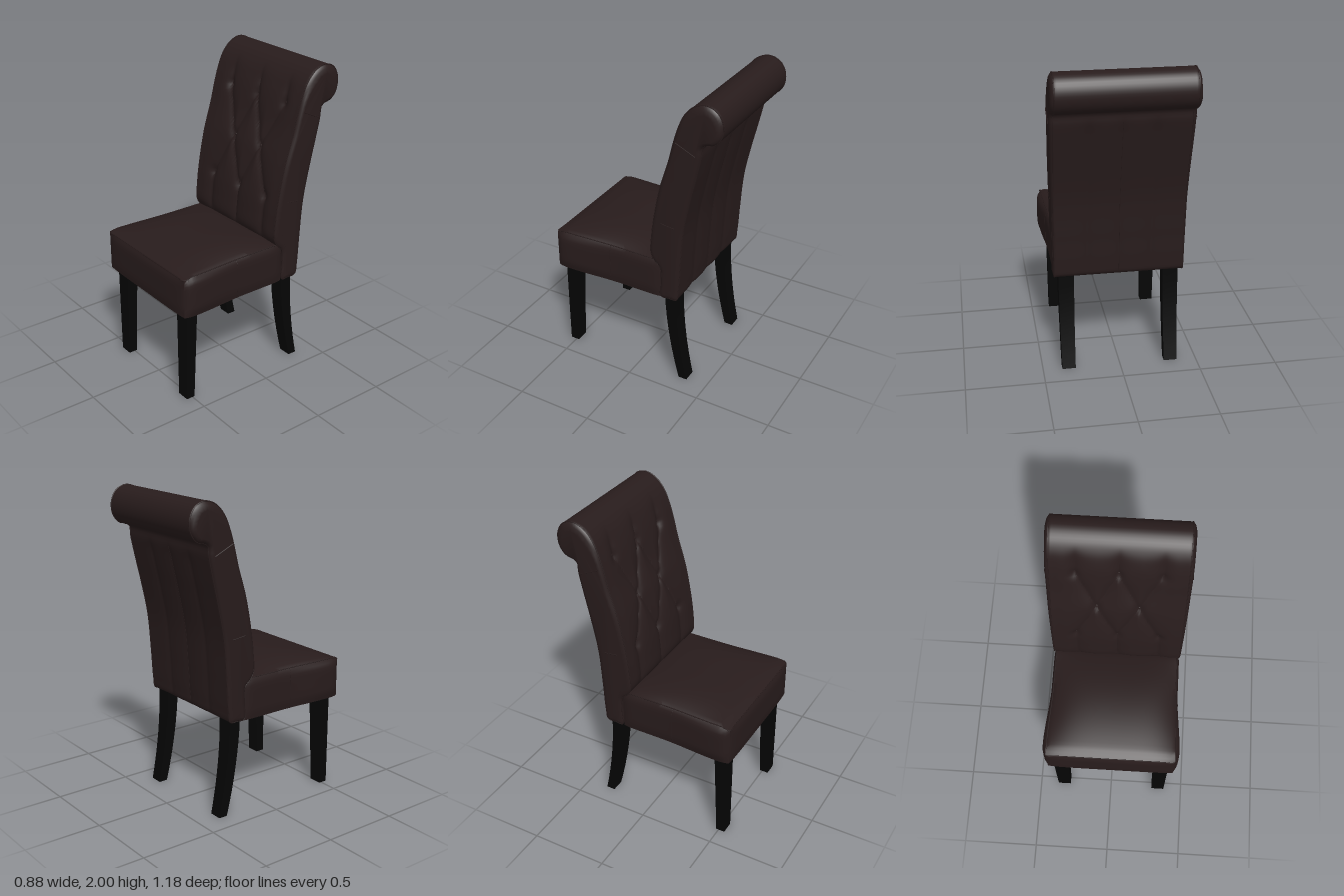
import * as THREE from 'three';
import { toCreasedNormals } from 'three/addons/utils/BufferGeometryUtils.js';

const fabric = new THREE.MeshStandardMaterial({ name: 'brown upholstery', color: 0x281c1c });
const wood = new THREE.MeshStandardMaterial({ name: 'black wood', color: 0x050505 });
const lining = new THREE.MeshStandardMaterial({ name: 'olive lining', color: 0x4a3d24 });

const smooth = THREE.MathUtils.smoothstep;
const V = (x, y, z) => new THREE.Vector3(x, y, z);

function add(group, name, geometry, material) {
  const mesh = new THREE.Mesh(geometry, material);
  mesh.name = name;
  group.add(mesh);
  return mesh;
}

function piping(group, name, points, closed = false, radius = 0.004) {
  const path = new THREE.CatmullRomCurve3(points, closed, 'centripetal');
  return add(group, name, new THREE.TubeGeometry(path, points.length * 2, radius, 5, closed), fabric);
}

function meshFrom(positions, index, crease) {
  const g = new THREE.BufferGeometry();
  g.setAttribute('position', new THREE.Float32BufferAttribute(positions, 3));
  g.setIndex(index);
  return toCreasedNormals(g, crease);
}

// Side outline of the backrest as [z, y]: up the front, round the scroll, down the back
const OUTLINE = [
  [-0.19, 0.63], [-0.19, 0.74], [-0.185, 0.84], [-0.145, 0.88], [-0.12, 0.93], [-0.125, 1.05],
  [-0.14, 1.17], [-0.185, 1.4], [-0.245, 1.6], [-0.275, 1.72], [-0.305, 1.82], [-0.345, 1.91],
  [-0.405, 1.975], [-0.48, 2.0], [-0.55, 1.975], [-0.587, 1.91], [-0.583, 1.83], [-0.54, 1.772],
  [-0.49, 1.757], [-0.463, 1.74], [-0.457, 1.68], [-0.425, 1.53], [-0.39, 1.38], [-0.345, 1.15],
  [-0.325, 0.9], [-0.312, 0.7], [-0.3, 0.635], [-0.24, 0.63],
];

// Tufting: buttons, and the folds that join them
const BUTTONS = [[-0.26, 1.75], [0, 1.75], [0.26, 1.75], [-0.13, 1.46], [0.13, 1.46],
  [-0.26, 1.17], [0, 1.17], [0.26, 1.17]];
const FOLDS = [];
for (const x of [-0.13, 0.13])
  for (const dx of [-0.13, 0.13])
    for (const y of [1.17, 1.75]) FOLDS.push([x, 1.46, x + dx, y]);
for (const x of [-0.26, 0, 0.26]) FOLDS.push([x, 1.75, x, 1.98], [x, 1.17, x, 0.88]);

function segmentDistance(x, y, [ax, ay, bx, by]) {
  const dx = bx - ax, dy = by - ay;
  const t = THREE.MathUtils.clamp(((x - ax) * dx + (y - ay) * dy) / (dx * dx + dy * dy), 0, 1);
  return Math.hypot(x - ax - t * dx, y - ay - t * dy);
}

function tuft(x, y, nz) {
  if (nz < 0) { // shallow vertical pleats on the back
    const d = Math.min(...[-0.2, 0, 0.2].map((p) => Math.abs(x - p)));
    return -0.01 * Math.exp(-d / 0.04) * (1 - smooth(y, 1.6, 1.72)) * smooth(-nz, 0.5, 0.9);
  }
  const d = Math.min(...FOLDS.map((f) => segmentDistance(x, y, f)));
  const b = Math.min(...BUTTONS.map((p) => Math.hypot(x - p[0], y - p[1])));
  const mask = smooth(nz, 0.3, 0.8) * smooth(y, 0.88, 0.95) * (1 - smooth(y, 1.8, 1.95));
  const edge = 1 - smooth(Math.abs(x), 0.32, 0.4);
  return mask * (0.005 * edge - 0.026 * Math.exp(-d / 0.04) - 0.014 * Math.exp(-((b / 0.03) ** 2)));
}

function buildBackrest() {
  const group = new THREE.Group();
  group.name = 'backrest';
  const N = 160, M = 80, HALF = 0.405;
  const curve = new THREE.CatmullRomCurve3(OUTLINE.map(([z, y]) => V(0, y, z)), true, 'centripetal');
  const ring = [];
  for (let i = 0; i < N; i++) {
    const p = curve.getPointAt(i / N), t = curve.getTangentAt(i / N);
    ring.push({ y: p.y, z: p.z, nz: t.y, ny: -t.z });
  }
  const sidePuff = (y) => 0.012 + 0.019 * smooth(y, 0.8, 1.9);
  // Columns across the width; the outer ones round off into puffed side panels
  const columns = [];
  for (let j = 0; j <= M; j++) columns.push({ x: HALF * (2 * j / M - 1), inset: 0, puff: 0 });
  for (const [puff, inset] of [[0.45, 0.003], [0.8, 0.012], [1, 0.026]]) {
    columns.push({ x: HALF, inset, puff });
    columns.unshift({ x: -HALF, inset, puff: -puff });
  }
  const place = (r, c, out = 0) => {
    const roll = 1 + 0.9 * smooth(r.y, 1.8, 1.95);
    const off = out - c.inset * roll + (c.puff ? 0 : tuft(c.x, r.y, r.nz));
    return V(c.x + c.puff * sidePuff(r.y), r.y + r.ny * off, r.z + r.nz * off);
  };
  const positions = [], index = [], W = columns.length;
  for (const r of ring) for (const c of columns) positions.push(...place(r, c).toArray());
  for (let i = 0; i < N; i++)
    for (let j = 0; j < W - 1; j++) {
      const a = i * W + j, b = ((i + 1) % N) * W + j;
      index.push(a, a + 1, b + 1, a, b + 1, b);
    }
  const flat = ring.map((r) => new THREE.Vector2(r.z, r.y));
  for (const [a, b, c] of THREE.ShapeUtils.triangulateShape(flat, [])) {
    index.push(a * W, b * W, c * W);
    index.push(a * W + W - 1, c * W + W - 1, b * W + W - 1);
  }
  add(group, 'backCushion', meshFrom(positions, index, 0.8), fabric);

  // Edge piping and short side seams
  for (const s of [-1, 1]) {
    const edge = { x: s * HALF, inset: 0, puff: s * 0.25 };
    piping(group, 'backPiping', ring.map((r) => place(r, edge, -0.001)), true, 0.0035);
    for (const [y, z0, z1, drop] of [[1.17, -0.2, -0.29, 0.01], [1.74, -0.3, -0.43, 0.06]]) {
      const x = s * (HALF + sidePuff(y) + 0.002);
      piping(group, 'sideSeam', [V(x, y, z0), V(x, y - drop, z1)], false, 0.003);
    }
  }
  // Centre seam down the back
  const back = ring.filter((r) => r.nz < -0.8 && r.y > 0.64 && r.y < 1.7);
  piping(group, 'backSeam', back.map((r) => place(r, { x: 0, inset: 0, puff: 0 })), false, 0.002);

  // Buttons
  for (const [x, y] of BUTTONS) {
    const r = ring.filter((q) => q.nz > 0.5).reduce((m, q) => (Math.abs(q.y - y) < Math.abs(m.y - y) ? q : m));
    const button = add(group, 'button', new THREE.SphereGeometry(0.011, 12, 8), fabric);
    button.position.copy(place(r, { x, inset: 0, puff: 0 }));
    button.scale.z = 0.5;
  }
  return group;
}

// Maps a unit cube onto the cushion: domed top, puffed sides, wider front
function seatPoint(u, v, w) {
  const z0 = 0.195 + w * 0.76;
  const flare = smooth(z0, 0.1, 0.5);
  const puff = Math.max(1 - (2 * v) ** 6, v < 0 ? 0.45 : 0);
  const half = 0.398 + 0.014 * flare + (0.016 + 0.014 * flare) * puff * (1 - (2 * w) ** 16);
  const front = Math.max(0, 2 * w) * 0.014 * puff * (1 - (2 * u) ** 8);
  const dome = (v + 0.5) ** 6 * 0.055 * (1 - (2 * u) ** 4) * (1 - (2 * w) ** 2);
  const dip = 0.012 * (v + 0.5) * smooth(Math.abs(w), 0.42, 0.5);
  return V(2 * u * half, 0.62 + 0.265 * (v + 0.5) + dome - dip, z0 + front);
}

function buildSeat() {
  const group = new THREE.Group();
  group.name = 'seat';
  const g = new THREE.BoxGeometry(1, 1, 1, 28, 12, 32), p = g.attributes.position;
  for (let i = 0; i < p.count; i++) p.setXYZ(i, ...seatPoint(p.getX(i), p.getY(i), p.getZ(i)).toArray());
  add(group, 'seatCushion', toCreasedNormals(g, 0.7), fabric);

  // Piping round the top edge, seams down the sides
  const loop = [], n = 14;
  for (const [ax, az, dx, dz] of [[-0.5, -0.5, 1, 0], [0.5, -0.5, 0, 1], [0.5, 0.5, -1, 0], [-0.5, 0.5, 0, -1]])
    for (let k = 0; k < n; k++) loop.push(seatPoint(ax + dx * k / n, 0.5, az + dz * k / n));
  piping(group, 'seatPiping', loop, true, 0.0035);
  for (const s of [-0.5, 0.5]) {
    const line = [];
    for (let k = 0; k <= 8; k++) line.push(seatPoint(s, k / 8 - 0.5, -0.025));
    piping(group, 'seatSideSeam', line, false, 0.002);
  }
  // Lining under the seat
  const plate = add(group, 'underLining', new THREE.BoxGeometry(0.68, 0.006, 0.64), lining);
  plate.position.set(0, 0.618, 0.19);
  return group;
}

// Square leg lofted through sections [y, x centre, z centre, half width, half depth]
function legGeometry(sections) {
  const positions = [], index = [];
  for (const [y, x, z, hw, hd] of sections)
    positions.push(x - hw, y, z + hd, x + hw, y, z + hd, x + hw, y, z - hd, x - hw, y, z - hd);
  for (let i = 0; i < sections.length - 1; i++)
    for (let k = 0; k < 4; k++) {
      const a = i * 4 + k, b = i * 4 + (k + 1) % 4;
      index.push(a, b, b + 4, a, b + 4, a + 4);
    }
  const t = (sections.length - 1) * 4;
  index.push(0, 2, 1, 0, 3, 2, t, t + 1, t + 2, t, t + 2, t + 3);
  return meshFrom(positions, index, 0.5);
}

export function createModel() {
  const model = new THREE.Group();
  model.name = 'diningChair';
  model.add(buildBackrest(), buildSeat());
  for (const s of [-1, 1]) {
    add(model, 'frontLeg', legGeometry([
      [0, s * 0.333, 0.513, 0.043, 0.029], [0.63, s * 0.332, 0.5, 0.05, 0.04],
    ]), wood);
    const rear = [];
    for (let k = 0; k <= 8; k++) {
      const t = k / 8; // t = 0 at the foot, sweeping back
      rear.push([0.64 * t, s * 0.333, -0.245 - 0.085 * (1 - t) ** 1.8, 0.043 + 0.007 * t, 0.029 + 0.011 * t]);
    }
    add(model, 'rearLeg', legGeometry(rear), wood);
  }
  return model;
}
